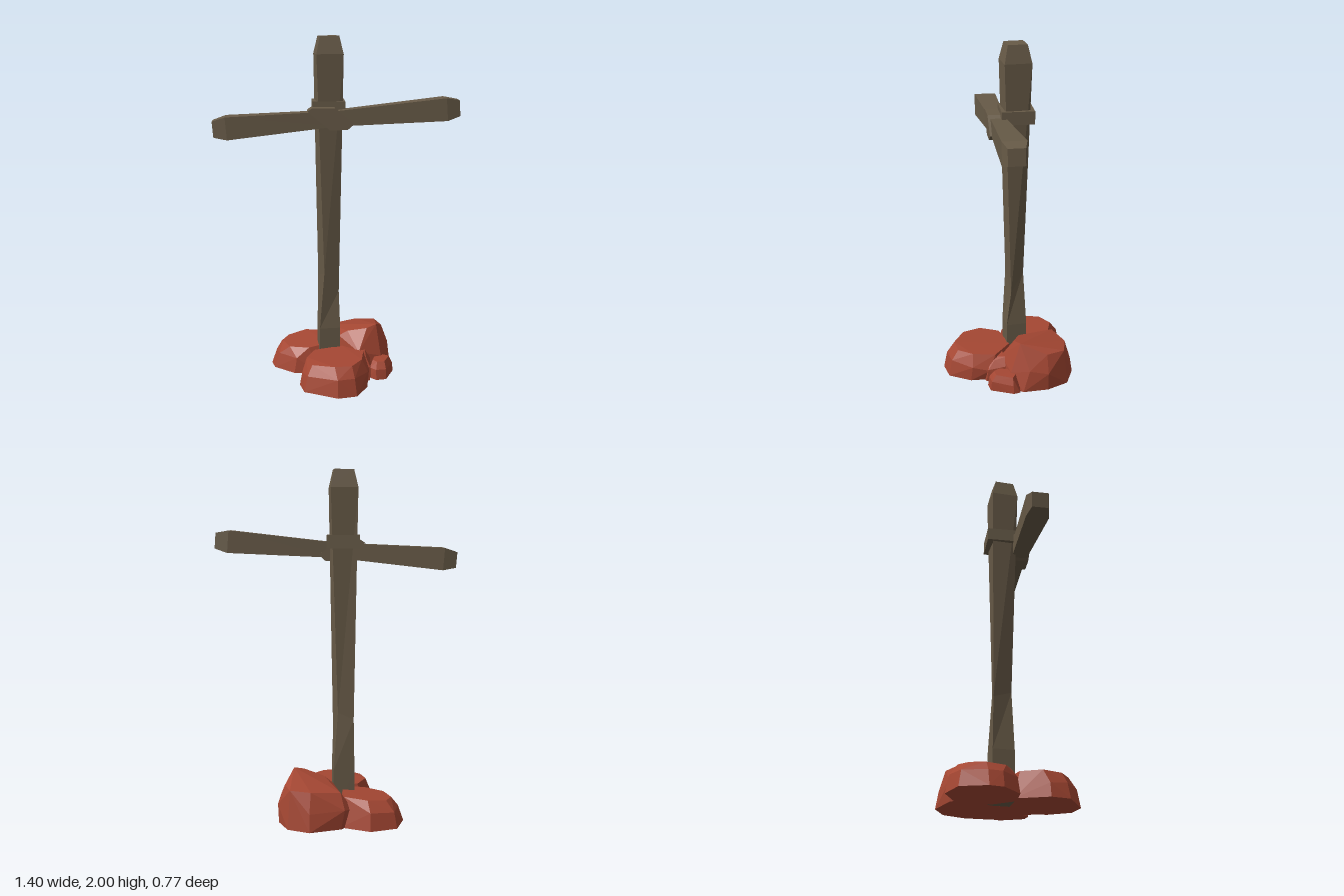
import * as THREE from 'three';
import { ConvexGeometry } from 'three/addons/geometries/ConvexGeometry.js';

const wood = new THREE.MeshStandardMaterial({ color: 0x675a47, flatShading: true });
wood.name = 'weathered wood';
const stone = new THREE.MeshStandardMaterial({ color: 0xa54733, flatShading: true });
stone.name = 'red stone';

function add(parent, name, geometry, material) {
  const mesh = new THREE.Mesh(geometry, material);
  mesh.name = name;
  parent.add(mesh);
  return mesh;
}

// Skins four-cornered rings, listed from bottom to top, and caps both ends.
function loft(rings) {
  const index = [];
  const last = (rings.length - 1) * 4;
  for (let r = 0; r < last; r += 4) {
    for (let i = 0; i < 4; i++) {
      const j = (i + 1) % 4;
      index.push(r + i, r + 4 + i, r + j, r + j, r + 4 + i, r + 4 + j);
    }
  }
  index.push(0, 1, 2, 0, 2, 3, last, last + 2, last + 1, last, last + 3, last + 2);
  const g = new THREE.BufferGeometry();
  g.setAttribute('position', new THREE.Float32BufferAttribute(rings.flat(2), 3));
  g.setIndex(index);
  const flat = g.toNonIndexed();
  flat.computeVertexNormals();
  return flat;
}

// Corner order runs +x+z, +x-z, -x-z, -x+z; reversed so the faces point outward.
const square = (y, h) => [[h, y, h], [-h, y, h], [-h, y, -h], [h, y, -h]];

const rock = (points) => new ConvexGeometry(points.map((p) => new THREE.Vector3(...p)));

export function createModel() {
  const model = new THREE.Group();
  model.name = 'wooden signpost';

  // Upright post with a hewn, uneven waist
  const waist = [[0.056, 0.5, 0.033], [-0.032, 0.62, 0.05], [-0.056, 0.58, -0.058], [0.034, 0.62, -0.045]];
  const post = add(model, 'post', loft([
    square(0, 0.062), square(0.28, 0.061), waist, square(1.9, 0.077), square(2, 0.055),
  ]), wood);
  post.position.set(-0.035, 0, -0.06);

  // Square collar around the post
  const collar = add(model, 'collar', new THREE.BoxGeometry(0.186, 0.075, 0.186), wood);
  collar.position.set(-0.035, 1.6, -0.066);
  collar.rotation.y = -0.09;

  // Tilted cross beam, thicker toward its chamfered ends
  const beam = add(model, 'crossBeam', loft([
    square(-0.695, 0.045), square(-0.62, 0.064), square(0, 0.043), square(0.62, 0.064), square(0.695, 0.045),
  ]).rotateZ(-Math.PI / 2), wood);
  beam.position.set(-0.003, 1.547, 0.045);
  beam.rotation.set(0, -0.08, 0.08);

  // Diagonal lashing over the joint
  const outline = [[-0.165, 1.59], [-0.04, 1.485], [0.06, 1.485], [0.1, 1.52], [-0.01, 1.607], [-0.14, 1.607]];
  const lashing = add(model, 'lashing', new THREE.ExtrudeGeometry(
    new THREE.Shape(outline.map((p) => new THREE.Vector2(...p))),
    { depth: 0.105, bevelEnabled: false },
  ), wood);
  lashing.position.z = -0.002;
  lashing.rotation.y = -0.08;

  // Boulders holding the foot of the post
  const rocks = new THREE.Group();
  rocks.name = 'boulders';
  model.add(rocks);

  add(rocks, 'frontBoulder', rock([
    [-0.235, 0, 0.16], [-0.22, 0, 0.27], [-0.04, 0, 0.385], [0.07, 0, 0.37], [0.15, 0, 0.25],
    [0.17, 0, 0.06], [0.05, 0, -0.04], [-0.15, 0, -0.02],
    [-0.22, 0.08, 0.16], [-0.2, 0.09, 0.26], [-0.04, 0.1, 0.365], [0.06, 0.1, 0.35], [0.155, 0.09, 0.24], [0.18, 0.07, 0.14],
    [-0.19, 0.155, 0.13], [-0.17, 0.15, 0.24], [-0.05, 0.162, 0.315], [0.05, 0.16, 0.31], [0.12, 0.165, 0.23],
    [0.15, 0.16, 0.1], [0.04, 0.16, -0.01], [-0.13, 0.155, 0.02],
  ]), stone);

  add(rocks, 'backRightBoulder', rock([
    [-0.372, 0, -0.2], [-0.36, 0, -0.12], [-0.25, 0, -0.01], [-0.1, 0, 0.01], [0, 0, -0.1],
    [0, 0, -0.3], [-0.16, 0, -0.385], [-0.315, 0, -0.345],
    [-0.34, 0.09, -0.2], [-0.33, 0.09, -0.12], [-0.235, 0.09, -0.02], [-0.3, 0.09, -0.33], [-0.16, 0.1, -0.365],
    [-0.3, 0.14, -0.2], [-0.27, 0.14, -0.09], [-0.16, 0.15, -0.03], [-0.03, 0.165, -0.06],
    [-0.26, 0.145, -0.28], [-0.15, 0.16, -0.32], [-0.02, 0.17, -0.27],
  ]), stone);

  add(rocks, 'backLeftBoulder', rock([
    [-0.05, 0, -0.28], [0, 0, -0.33], [0.18, 0, -0.375], [0.3, 0, -0.31], [0.345, 0, -0.18],
    [0.34, 0, -0.03], [0.27, 0, 0.04], [0.12, 0, 0.07], [0.02, 0, -0.06],
    [0.35, 0.11, -0.18], [0.33, 0.13, -0.07], [0.27, 0.1, 0.03], [0.13, 0.14, 0.06],
    [0.18, 0.1, -0.358], [-0.07, 0.1, -0.28], [-0.02, 0.11, -0.335],
    [0.25, 0.28, -0.03], [0.19, 0.265, -0.01], [0.08, 0.235, -0.06], [0.03, 0.2, -0.08],
    [0.31, 0.22, -0.18], [0.285, 0.22, -0.29], [0.17, 0.215, -0.325], [0.0, 0.2, -0.29],
  ]), stone);

  add(rocks, 'smallBoulder', rock([
    [0.18, 0, 0.11], [0.22, 0, 0.16], [0.28, 0, 0.155], [0.345, 0, 0.03], [0.34, 0, -0.01], [0.24, 0, -0.04],
    [0.19, 0.06, 0.11], [0.22, 0.06, 0.152], [0.28, 0.06, 0.148], [0.34, 0.05, 0.03],
    [0.21, 0.1, 0.09], [0.23, 0.1, 0.125], [0.275, 0.1, 0.12], [0.32, 0.095, 0.03], [0.25, 0.1, -0.02],
  ]), stone);

  add(rocks, 'wedgeStone', rock([
    [0.08, 0, 0.04], [0.13, 0, 0.17], [0.18, 0, 0.16], [0.21, 0, 0.05],
    [0.12, 0.08, 0.16], [0.185, 0.08, 0.15], [0.2, 0.1, 0.05],
    [0.1, 0.15, 0.05], [0.13, 0.14, 0.12], [0.165, 0.13, 0.11], [0.17, 0.15, 0.04],
  ]), stone);

  return model;
}
